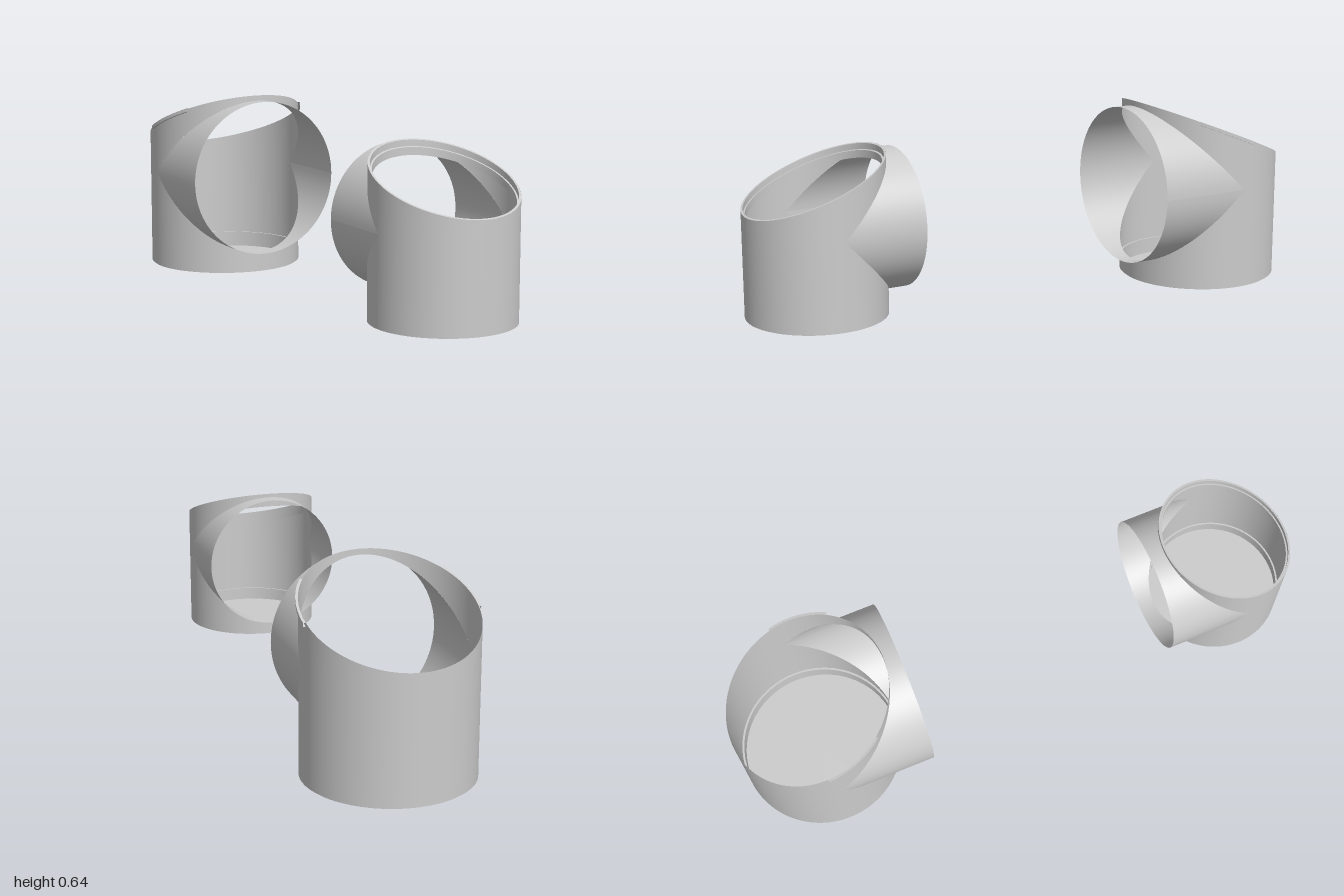
import * as THREE from 'three';

const material = new THREE.MeshStandardMaterial({ color: 0xcccccc, side: THREE.DoubleSide });
const SEG = 96;

// Surface swept by f(angle, v) -> [x, y, z]; v runs 0..1
function patch(name, f, from = 0, to = Math.PI * 2, nu = SEG, nv = 6) {
  const pos = [], idx = [];
  for (let i = 0; i <= nu; i++) {
    for (let j = 0; j <= nv; j++) pos.push(...f(from + (to - from) * i / nu, j / nv));
  }
  for (let i = 0; i < nu; i++) {
    for (let j = 0; j < nv; j++) {
      const a = i * (nv + 1) + j, b = a + nv + 1;
      idx.push(a, a + 1, b, b, a + 1, b + 1);
    }
  }
  const geo = new THREE.BufferGeometry();
  geo.setAttribute('position', new THREE.Float32BufferAttribute(pos, 3));
  geo.setIndex(idx);
  geo.computeVertexNormals();
  const mesh = new THREE.Mesh(geo, material);
  mesh.name = name;
  return mesh;
}

// Upright pipe with a slanted mouth and an equal side branch facing local +z
function createElbow({ name, R, wallBase, branchY, branchLength, topY, slope, sleeveTop }) {
  const group = new THREE.Group();
  group.name = name;
  const { sin, cos, PI } = Math;
  const top = (a, r = R) => topY + slope * r * sin(a);
  const wall = (lo, hi) => (a, v) => [R * cos(a), lo(a) + (hi(a) - lo(a)) * v, R * sin(a)];
  const base = () => wallBase;

  // Upright wall: full behind, split above and below the branch opening in front
  group.add(patch('backWall', wall(base, a => top(a)), PI, PI * 2));
  group.add(patch('lowerFrontWall', wall(base, a => branchY - R * sin(a)), 0, PI));
  group.add(patch('upperFrontWall', wall(a => branchY + R * sin(a), a => top(a)), 0, PI));

  // Side branch, mitred where it meets the upright wall
  group.add(patch('branch', (a, v) => {
    const start = R * Math.abs(sin(a));
    return [R * cos(a), branchY + R * sin(a), branchLength + (start - branchLength) * v];
  }));

  // Floor, bottom step and inner sleeve
  const r = R * 0.975;
  const profile = [[0, 0], [r, 0], [r, wallBase], [R, wallBase]];
  const sleeve = [[R, sleeveTop], [r, sleeveTop], [r, 0.001]];
  for (const [part, line] of [['floor', profile], ['sleeve', sleeve]]) {
    for (let i = 0; i + 1 < line.length; i++) {
      const [p, q] = [line[i], line[i + 1]];
      if (p[0] === q[0] && p[1] === q[1]) continue;
      const pts = [new THREE.Vector2(...p), new THREE.Vector2(...q)];
      const mesh = new THREE.Mesh(new THREE.LatheGeometry(pts, SEG), material);
      mesh.name = part;
      group.add(mesh);
    }
  }

  // Rings that follow the slanted mouth; each step is [radius factor, drop]
  group.userData.addLip = (part, steps, from, to) => {
    for (let i = 0; i + 1 < steps.length; i++) {
      const [[k0, d0], [k1, d1]] = [steps[i], steps[i + 1]];
      group.add(patch(part, (a, v) => {
        const q = R * (k0 + (k1 - k0) * v);
        return [q * cos(a), top(a, q) - d0 - (d1 - d0) * v, q * sin(a)];
      }, from, to, SEG, 1));
    }
  };
  return group;
}

export function createModel() {
  const model = new THREE.Group();
  model.name = 'pipeElbowPair';

  // Large piece at the back, branch facing forward
  const large = createElbow({
    name: 'largeElbow', R: 0.275, wallBase: 0.005, branchY: 0.35, branchLength: 0.325,
    topY: 0.5315, slope: 0.41, sleeveTop: 0.055,
  });
  large.position.z = -0.725;
  // Thin clip arcs standing proud of the mouth on both sides
  const clip = [[1, 0.012], [1.03, 0.012], [1.03, 0], [1, 0]];
  large.userData.addLip('clipLeft', clip, -0.1, 0.62);
  large.userData.addLip('clipRight', clip, Math.PI - 0.62, Math.PI + 0.1);

  // Small piece at the front, branch facing backward
  const small = createElbow({
    name: 'smallElbow', R: 0.23, wallBase: 0, branchY: 0.287, branchLength: 0.283,
    topY: 0.438, slope: 0.4, sleeveTop: 0.045,
  });
  small.position.set(0, 0.068, 0.77);
  small.rotation.y = Math.PI;
  // Stepped lip inside the slanted mouth
  small.userData.addLip('innerLip', [[1, 0], [0.97, 0], [0.97, 0.02], [0.945, 0.02], [0.945, 0.045]]);

  for (const piece of [large, small]) {
    piece.userData = {};
    model.add(piece);
  }
  return model;
}
